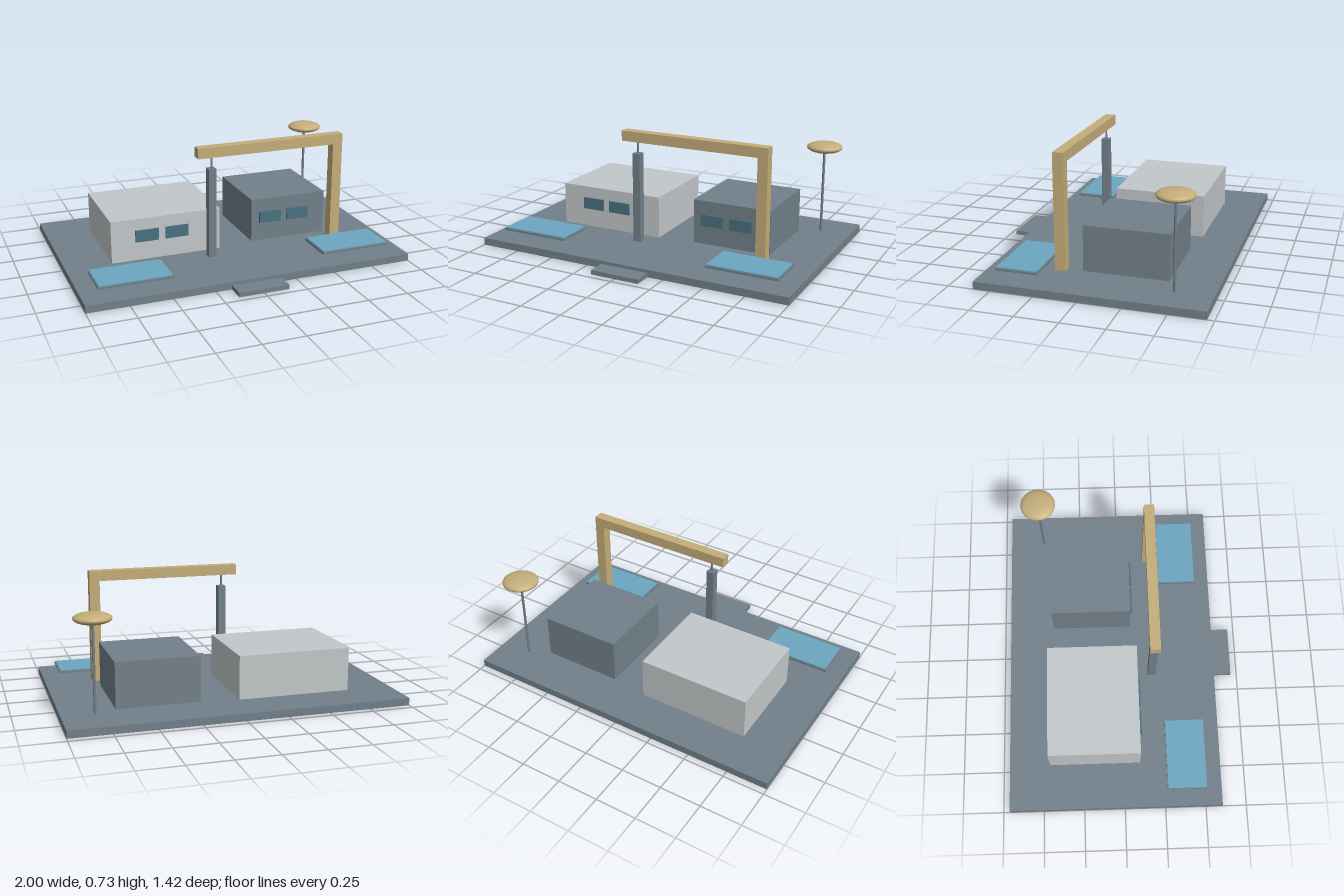
import * as THREE from 'three';

const material = (name, color) => {
  const m = new THREE.MeshStandardMaterial({ color });
  m.name = name;
  return m;
};

export function createModel() {
  const slate = material('slate', 0x72808a);
  const paleGrey = material('paleGrey', 0xc2c7c9);
  const sand = material('sand', 0xc4ad79);
  const panelBlue = material('panelBlue', 0x6ba6bf);
  const windowTeal = material('windowTeal', 0x48707f);

  const model = new THREE.Group();
  model.name = 'outpost';

  const add = (name, geometry, mat, x, y, z, parent = model) => {
    const mesh = new THREE.Mesh(geometry, mat);
    mesh.name = name;
    mesh.position.set(x, y, z);
    parent.add(mesh);
    return mesh;
  };
  // Box given by its lower and upper limits on each axis
  const box = (name, mat, [x0, x1], [y0, y1], [z0, z1], parent) =>
    add(name, new THREE.BoxGeometry(x1 - x0, y1 - y0, z1 - z0), mat,
      (x0 + x1) / 2, (y0 + y1) / 2, (z0 + z1) / 2, parent);
  const group = (name) => {
    const g = new THREE.Group();
    g.name = name;
    model.add(g);
    return g;
  };

  const ground = 0.045;

  // Platform and entry step
  box('platform', slate, [-1, 1], [0, ground], [-0.71, 0.6]);
  box('entryStep', slate, [-0.153, 0.153], [0, 0.026], [0.6, 0.71]);

  // Two buildings, each with a pair of front windows
  const building = (name, mat, xs, top, zs, windowStarts) => {
    const g = group(name);
    box('walls', mat, xs, [ground, top], zs, g);
    for (const x of windowStarts) {
      box('window', windowTeal, [x, x + 0.143], [0.162, 0.234], [zs[1] + 0.003, zs[1] + 0.0125], g);
      box('windowBacking', windowTeal, [x, x + 0.143], [0.162, 0.234], [zs[1] - 0.003, zs[1] + 0.003], g);
    }
  };
  building('largeBuilding', paleGrey, [-0.722, -0.038], 0.306, [-0.458, 0.102], [-0.574, -0.387]);
  building('smallBuilding', slate, [0.187, 0.684], 0.318, [-0.43, 0.07], [0.239, 0.426]);

  // Overhead gantry: post, beam, support tower and hanging rod
  const gantry = group('gantry');
  box('post', sand, [0.654, 0.716], [ground, 0.672], [0.166, 0.228], gantry);
  box('beam', sand, [-0.219, 0.716], [0.672, 0.734], [0.166, 0.228], gantry);
  box('tower', slate, [-0.151, -0.103], [ground, 0.6], [0.173, 0.221], gantry);
  add('rod', new THREE.CylinderGeometry(0.006, 0.006, 0.08, 12), slate, -0.127, 0.635, 0.197, gantry);

  // Solar tables, mirrored left and right
  for (const side of [-1, 1]) {
    const table = group(side < 0 ? 'rightSolarTable' : 'leftSolarTable');
    const cx = side * 0.686;
    box('frame', slate, [cx - 0.219, cx + 0.219], [0.084, 0.097], [0.261, 0.51], table);
    box('panel', panelBlue, [cx - 0.213, cx + 0.213], [0.097, 0.103], [0.267, 0.504], table);
    for (const dx of [-0.125, 0.125]) {
      add('leg', new THREE.CylinderGeometry(0.007, 0.007, 0.04, 12), slate, cx + dx, 0.065, 0.386, table);
    }
  }

  // Mast carrying a flattened dish
  const mast = group('mast');
  add('pole', new THREE.CylinderGeometry(0.008, 0.008, 0.54, 12), slate, 0.81, 0.315, -0.491, mast);
  const dish = add('dish', new THREE.SphereGeometry(0.109, 24, 12), sand, 0.81, 0.59, -0.491, mast);
  dish.scale.y = 0.3;

  return model;
}
